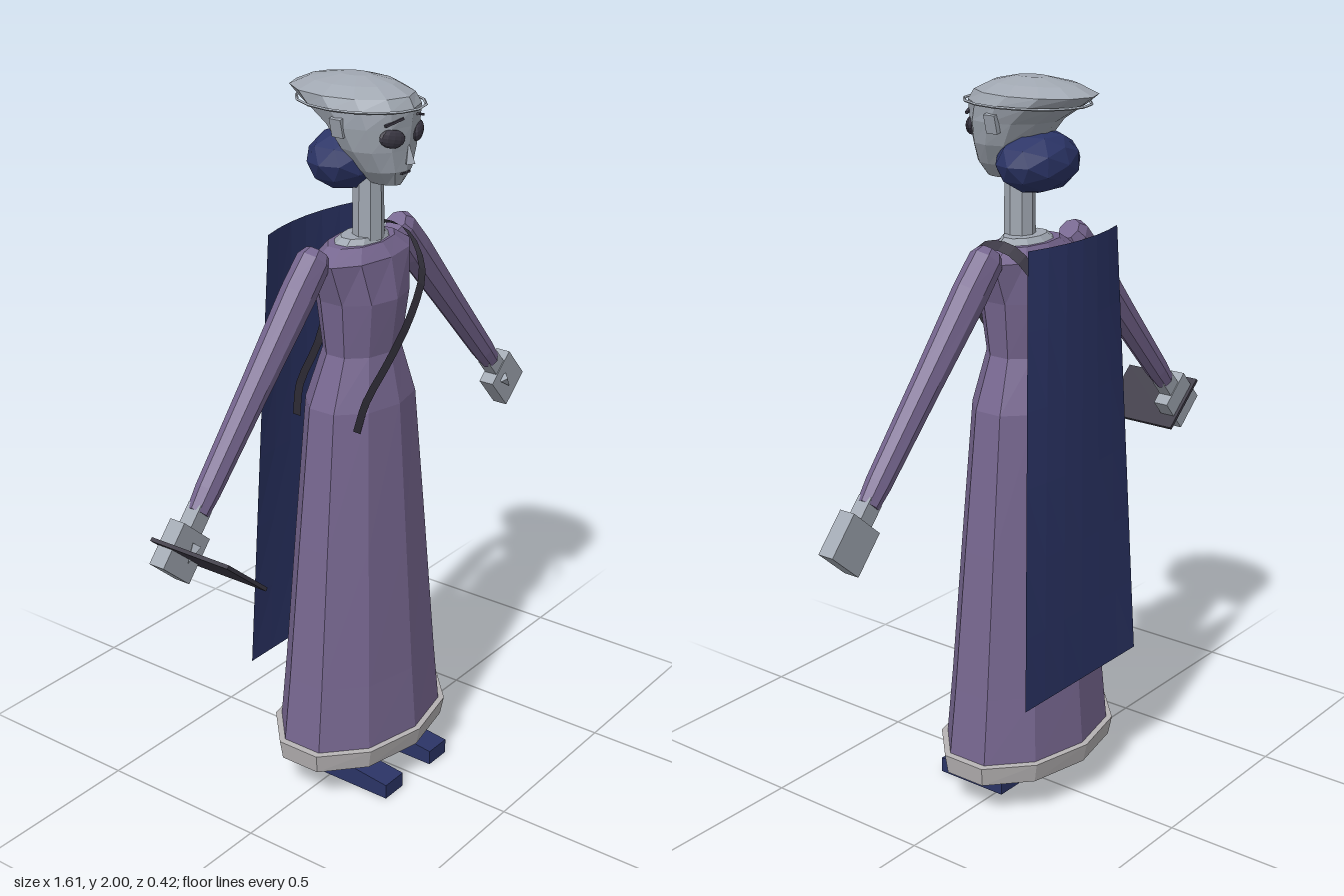
import * as THREE from 'three';

const mat = (name, color, side = THREE.FrontSide) => {
  const m = new THREE.MeshStandardMaterial({ color, side, flatShading: true });
  m.name = name;
  return m;
};

// Closed loft through elliptical rings [y, halfWidth, zFront, zBack], listed from bottom to top
function loft(rings, n, cap = true) {
  const pos = [], idx = [];
  for (const [y, w, f, b] of rings) {
    for (let i = 0; i < n; i++) {
      const a = (i / n) * Math.PI * 2;
      pos.push(w * Math.sin(a), y, (f + b) / 2 + ((f - b) / 2) * Math.cos(a));
    }
  }
  for (let r = 0; r < rings.length - 1; r++) {
    for (let i = 0; i < n; i++) {
      const a = r * n + i, b = r * n + (i + 1) % n;
      idx.push(a, b, b + n, a, b + n, a + n);
    }
  }
  if (cap) {
    const t = (rings.length - 1) * n;
    for (let i = 1; i < n - 1; i++) idx.push(0, i + 1, i, t, t + i, t + i + 1);
  }
  const g = new THREE.BufferGeometry();
  g.setAttribute('position', new THREE.Float32BufferAttribute(pos, 3));
  g.setIndex(idx);
  g.computeVertexNormals();
  return g;
}

// Open grid surface from a function of (u, v)
function sheet(fn, nu, nv) {
  const g = new THREE.PlaneGeometry(1, 1, nu, nv), p = g.attributes.position;
  for (let i = 0; i < p.count; i++) p.setXYZ(i, ...fn(p.getX(i) + 0.5, p.getY(i) + 0.5));
  g.computeVertexNormals();
  return g;
}

export function createModel() {
  const root = new THREE.Group();
  const purple = mat('dress purple', 0x76668f, THREE.DoubleSide);
  const navy = mat('navy', 0x2b3466, THREE.DoubleSide);
  const skin = mat('cool grey skin', 0xa0a7b1);
  const hemMat = mat('pale hem', 0xb5b2b3, THREE.DoubleSide);
  const dark = mat('charcoal', 0x3b3844, THREE.DoubleSide);

  const add = (name, geo, m, x = 0, y = 0, z = 0, parent = root) => {
    const mesh = new THREE.Mesh(geo, m);
    mesh.name = name;
    mesh.position.set(x, y, z);
    parent.add(mesh);
    return mesh;
  };

  // Dress
  add('skirt', loft([
    [0.15, 0.288, 0.195, -0.195], [0.35, 0.264, 0.18, -0.18],
    [0.75, 0.222, 0.155, -0.155], [1.14, 0.179, 0.13, -0.13],
  ], 10, false), purple);
  add('hem', loft([
    [0.105, 0.297, 0.198, -0.198], [0.16, 0.305, 0.21, -0.21], [0.162, 0.285, 0.194, -0.194],
  ], 10, false), hemMat);
  add('bodice', loft([
    [1.14, 0.179, 0.13, -0.13], [1.28, 0.122, 0.1, -0.09], [1.43, 0.14, 0.12, -0.108],
    [1.54, 0.178, 0.1, -0.09], [1.575, 0.12, 0.07, -0.065],
  ], 10), purple);
  add('collar', loft([[1.57, 0.1, 0.066, -0.06], [1.59, 0.075, 0.055, -0.04]], 10), skin);

  // Shoulder strap, front and back runs
  const strapCurve = new THREE.CatmullRomCurve3([
    [-0.15, 1.1, 0.1], [-0.125, 1.18, 0.112], [-0.04, 1.27, 0.122], [0.035, 1.38, 0.138],
    [0.095, 1.49, 0.13], [0.13, 1.575, 0.05], [0.13, 1.575, -0.05], [0.095, 1.49, -0.115],
    [0.035, 1.38, -0.126], [-0.04, 1.27, -0.112], [-0.125, 1.18, -0.108], [-0.15, 1.1, -0.1],
  ].map(p => new THREE.Vector3(...p)));
  add('shoulderStrap', sheet((u, v) => {
    const p = strapCurve.getPoint(u), s = (v - 0.5) * 0.036;
    return [p.x + s * 0.86, p.y - s * 0.5, p.z];
  }, 33, 1), dark);

  // Cape, bowed backward at the top
  add('cape', sheet((u, v) => {
    const s = u * 2 - 1, w = 0.255 - 0.062 * v;
    return [s * w, 0.36 + 1.24 * v, -0.19 + v * (0.01 + 0.03 * s * s)];
  }, 6, 6), navy);

  // Neck and head
  add('neck', new THREE.CylinderGeometry(0.04, 0.042, 0.2, 8), skin, 0, 1.68, 0.025);
  add('head', loft([
    [1.735, 0.03, 0.125, 0.03], [1.775, 0.072, 0.145, 0.0], [1.83, 0.105, 0.15, -0.04],
    [1.89, 0.122, 0.158, -0.09], [1.935, 0.13, 0.165, -0.165], [1.962, 0.122, 0.15, -0.205],
    [1.985, 0.085, 0.1, -0.15], [2.0, 0.03, 0.03, -0.06],
  ], 12), skin);
  const bun = add('hairBun', new THREE.IcosahedronGeometry(1, 1), navy, 0, 1.785, -0.035);
  bun.scale.set(0.13, 0.083, 0.1);
  const band = add('headBand', new THREE.TorusGeometry(1, 0.025, 4, 16), skin, 0, 1.935, 0);
  band.rotation.x = Math.PI / 2;
  band.scale.set(0.138, 0.178, 0.14);

  // Face
  const nose = add('nose', new THREE.ConeGeometry(0.016, 0.055, 4), skin, 0, 1.822, 0.152);
  nose.rotation.x = -0.1;
  add('mouth', new THREE.BoxGeometry(0.034, 0.005, 0.008), dark, 0, 1.77, 0.14);
  for (const s of [-1, 1]) {
    const eye = add('eye', new THREE.SphereGeometry(1, 12, 8), dark, s * 0.055, 1.866, 0.139);
    eye.scale.set(0.038, 0.024, 0.013);
    eye.rotation.set(0, s * 0.4, s * 0.2);
    const brow = add('eyebrow', new THREE.BoxGeometry(0.055, 0.006, 0.008), dark, s * 0.055, 1.908, 0.145);
    brow.rotation.set(0, s * 0.35, -s * 0.25);
    const ear = add('ear', new THREE.BoxGeometry(0.014, 0.05, 0.035), skin, s * 0.121, 1.89, 0.02);
    ear.rotation.z = -s * 0.25;
  }

  for (const s of [-1, 1]) {
    const side = s > 0 ? 'left' : 'right';

    // Arm built downward from the shoulder, then swung outward
    const arm = new THREE.Group();
    arm.name = side + 'Arm';
    arm.position.set(s * 0.185, 1.555, -0.01);
    arm.rotation.z = s * 0.728;
    root.add(arm);
    add('sleeve', loft([
      [-0.7, 0.03, 0.028, -0.028], [-0.64, 0.036, 0.032, -0.032], [-0.36, 0.044, 0.037, -0.037],
      [-0.1, 0.054, 0.043, -0.043], [0.0, 0.05, 0.043, -0.043], [0.025, 0.035, 0.03, -0.03],
    ], 8), purple, 0, 0, 0, arm);
    add('wrist', new THREE.BoxGeometry(0.05, 0.06, 0.04), skin, 0, -0.715, 0, arm);
    add('hand', new THREE.BoxGeometry(0.118, 0.122, 0.046), skin, 0, -0.805, 0, arm);
    const thumb = add('thumb', new THREE.ConeGeometry(0.016, 0.05, 4), skin, -s * 0.015, -0.8, 0.027, arm);
    thumb.rotation.z = Math.PI;

    // Leg and wedge shoe
    add(side + 'Leg', new THREE.CylinderGeometry(0.03, 0.026, 1.0, 6), skin, s * 0.107, 0.595, 0);
    const shoe = new THREE.BoxGeometry(0.08, 0.07, 0.22);
    const p = shoe.attributes.position;
    for (let i = 0; i < p.count; i++) if (p.getY(i) > 0 && p.getZ(i) > 0) p.setY(i, 0.008);
    shoe.computeVertexNormals();
    add(side + 'Shoe', shoe, navy, s * 0.107, 0.035, 0.09);
  }

  // Flat tablet held in the right hand
  const tablet = add('tablet', new THREE.BoxGeometry(0.182, 0.01, 0.245), dark, -0.716, 0.945, 0.08);
  tablet.rotation.z = -0.71;

  return root;
}
